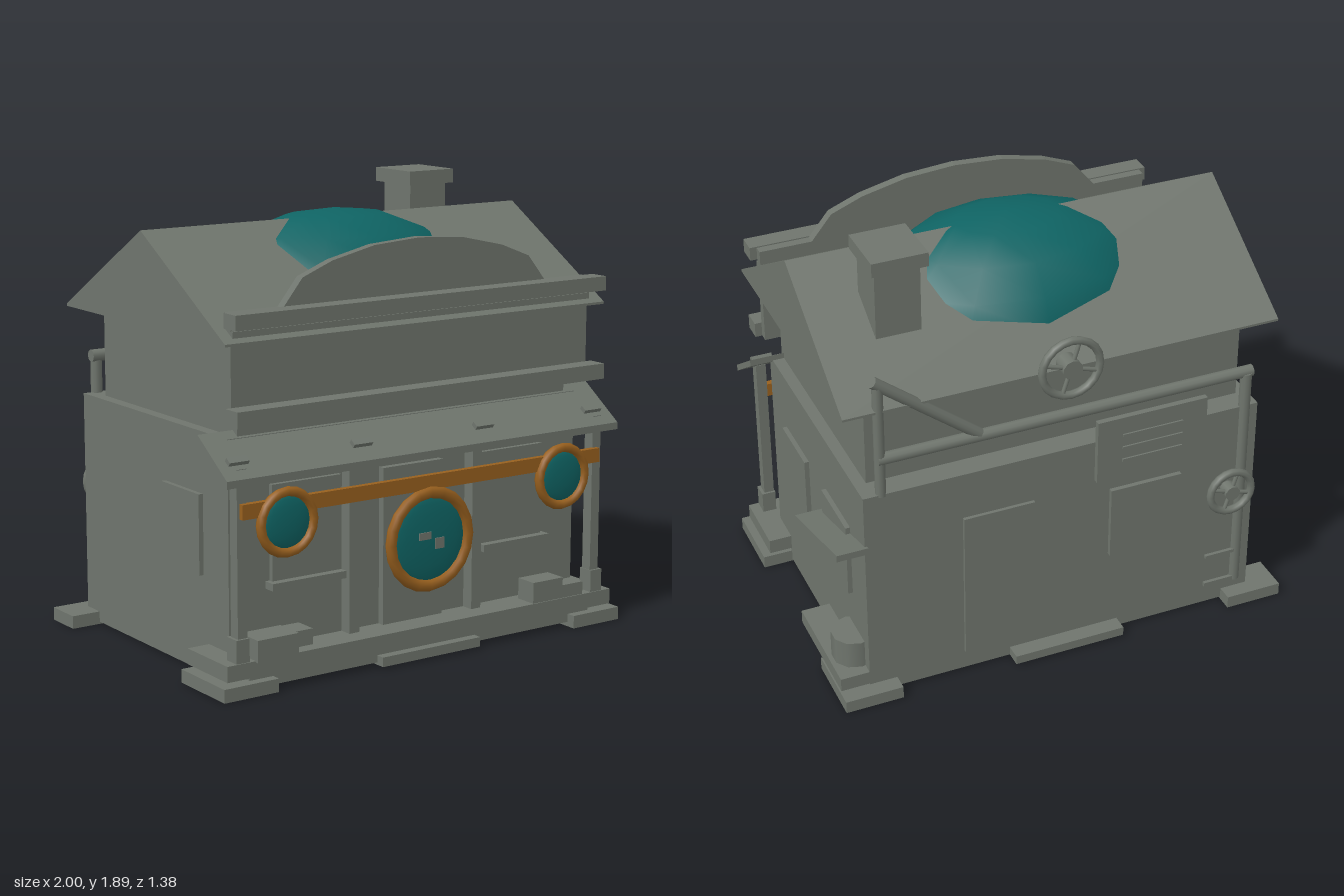
import * as THREE from 'three';

const mat = (name, color) => {
  const m = new THREE.MeshStandardMaterial({ color });
  m.name = name;
  return m;
};

export function createModel() {
  const root = new THREE.Group();
  const stone = mat('grey stone', 0x6f756d);
  const teal = mat('teal', 0x0f6464);
  const amber = mat('amber trim', 0x98601e);

  const add = (name, geo, m = stone, x = 0, y = 0, z = 0) => {
    const mesh = new THREE.Mesh(geo, m);
    mesh.name = name;
    mesh.position.set(x, y, z);
    root.add(mesh);
    return mesh;
  };
  // Box given by its limits on each axis
  const box = (name, x0, x1, y0, y1, z0, z1, m = stone) =>
    add(name, new THREE.BoxGeometry(x1 - x0, y1 - y0, z1 - z0), m, (x0 + x1) / 2, (y0 + y1) / 2, (z0 + z1) / 2);
  // Round bar between two points
  const bar = (name, a, b, r, m = stone) => {
    const p = new THREE.Vector3(...a), q = new THREE.Vector3(...b);
    const d = q.clone().sub(p), c = p.add(q).multiplyScalar(0.5);
    const mesh = add(name, new THREE.CylinderGeometry(r, r, d.length(), 10), m, c.x, c.y, c.z);
    mesh.quaternion.setFromUnitVectors(new THREE.Vector3(0, 1, 0), d.normalize());
    return mesh;
  };
  // Profile of [z, y] points extruded from x0 to x1
  const prism = (name, pts, x0, x1) => {
    const shape = new THREE.Shape(pts.map(([z, y]) => new THREE.Vector2(-z, y)));
    const geo = new THREE.ExtrudeGeometry(shape, { depth: x1 - x0, bevelEnabled: false });
    geo.rotateY(Math.PI / 2);
    return add(name, geo, stone, x0, 0, 0);
  };

  // Building and roof
  box('lowerWalls', -0.87, 0.87, 0.01, 0.99, -0.62, 0.52);
  box('upperWalls', -0.82, 0.82, 0.99, 1.38, -0.52, 0.51);
  prism('roof', [[0.62, 1.37], [0.62, 1.38], [0, 1.75], [-0.62, 1.38], [-0.62, 1.37]], -0.94, 0.94);
  const dome = add('roofDome', new THREE.SphereGeometry(1, 12, 9), teal, 0, 1.38, -0.015);
  dome.scale.set(0.65, 0.4, 0.45);

  // Chimney
  box('chimney', 0.51, 0.70, 1.45, 1.84, -0.36, -0.17);
  box('chimneyCap', 0.485, 0.72, 1.83, 1.89, -0.39, -0.14);

  // False front with an arched top
  const facade = new THREE.Shape([
    [-0.89, 1.06], [0.88, 1.06], [0.88, 1.49], [0.65, 1.49], [0.56, 1.60], [0.42, 1.655], [0.22, 1.70],
    [0, 1.715], [-0.22, 1.70], [-0.42, 1.655], [-0.56, 1.60], [-0.65, 1.49], [-0.89, 1.49],
  ].map(([x, y]) => new THREE.Vector2(x, y)));
  add('falseFront', new THREE.ExtrudeGeometry(facade, { depth: 0.04, bevelEnabled: false }), stone, 0, 0, 0.54);
  box('falseFrontMount', -0.8, 0.8, 1.1, 1.36, 0.5, 0.55);
  box('lowerCornice', -0.915, 0.91, 1.06, 1.125, 0.58, 0.665);
  box('upperCornice', -0.92, 0.91, 1.435, 1.495, 0.58, 0.665);
  box('corniceStrip', -0.89, 0.88, 1.395, 1.42, 0.58, 0.595);

  // Front awning with small clips
  prism('awning', [[0.48, 0.985], [0.69, 0.84], [0.69, 0.87], [0.48, 1.015]], -0.98, 0.97);
  for (const x of [-0.89, -0.31, 0.30, 0.88]) {
    const clip = add('awningClip', new THREE.BoxGeometry(0.09, 0.025, 0.03), stone, x, 0.925, 0.62);
    clip.rotation.x = 0.6;
  }

  // Porch deck, corner pads and steps
  box('porchDeck', -0.97, 0.97, 0.07, 0.135, 0.37, 0.665);
  box('deckSupport', -0.86, 0.86, 0.02, 0.08, 0.5, 0.65);
  box('frontStep', -0.25, 0.245, 0.01, 0.05, 0.6, 0.69);
  box('backStep', -0.25, 0.245, 0.01, 0.05, -0.69, -0.6);
  for (const s of [-1, 1]) {
    const pad = (z0, z1) => box('cornerPad', s < 0 ? -1 : 0.75, s < 0 ? -0.75 : 1, 0, 0.055, z0, z1);
    pad(0.37, 0.69);
    pad(-0.69, s < 0 ? -0.52 : -0.38);
    box('porchPost', s * 0.89 - 0.022, s * 0.89 + 0.022, 0.13, 0.9, 0.6, 0.65);
    box('postFoot', s * 0.895 - 0.03, s * 0.895 + 0.03, 0.13, 0.23, 0.59, 0.66);
    box('frontPilaster', s * 0.31 - 0.024, s * 0.31 + 0.024, 0.13, 0.86, 0.52, 0.575);
    box('frontWindow', s * 0.515 - 0.165, s * 0.515 + 0.165, 0.40, 0.79, 0.515, 0.54);
    box('windowSill', s * 0.525 - 0.175, s * 0.525 + 0.175, 0.37, 0.40, 0.515, 0.575);
  }
  box('frontDoor', -0.15, 0.15, 0.13, 0.79, 0.515, 0.55);

  // Crates on the porch
  box('leftCrate', 0.55, 0.71, 0.13, 0.225, 0.56, 0.66);
  box('leftLowCrate', 0.71, 0.82, 0.13, 0.19, 0.58, 0.66);
  box('rightCrate', -0.84, -0.65, 0.13, 0.22, 0.55, 0.68);
  box('rightLowCrate', -0.65, -0.57, 0.155, 0.22, 0.56, 0.66);

  // Amber beam with ringed discs
  box('signBeam', -0.90, 0.89, 0.705, 0.765, 0.645, 0.672, amber);
  const medallion = (x, y, r, tube) => {
    const ring = add('medallionRing', new THREE.TorusGeometry(r, tube, 8, 20), amber, x, y, 0.67);
    ring.scale.z = 0.02 / tube;
    const disc = add('medallionDisc', new THREE.SphereGeometry(r - tube * 0.6, 24, 10), teal, x, y, 0.665);
    disc.scale.z = 0.02 / (r - tube * 0.6);
  };
  medallion(-0.695, 0.67, 0.122, 0.02);
  medallion(0.685, 0.67, 0.122, 0.02);
  medallion(-0.005, 0.5, 0.194, 0.025);
  box('discPlateA', -0.07, -0.01, 0.505, 0.535, 0.682, 0.689);
  box('discPlateB', 0.01, 0.055, 0.46, 0.505, 0.682, 0.689);

  // Side windows, shelter, platform and barrel
  box('sideWindow', 0.865, 0.89, 0.41, 0.74, 0.05, 0.335);
  box('sideWindow', 0.865, 0.89, 0.41, 0.74, -0.45, -0.16);
  box('sideWindow', -0.89, -0.865, 0.41, 0.74, 0.05, 0.335);
  prism('sideAwning', [[-0.12, 0.585], [-0.12, 0.615], [-0.64, 0.765], [-0.64, 0.735]], 0.86, 0.995);
  box('sidePlatform', 0.8, 0.995, 0.06, 0.12, -0.62, -0.13);
  add('barrel', new THREE.CylinderGeometry(0.095, 0.095, 0.125, 10), stone, 0.885, 0.18, -0.48);

  // Back door, window and notice board
  box('backDoor', 0.14, 0.45, 0.1, 0.78, -0.635, -0.61);
  box('backWindow', -0.52, -0.2, 0.41, 0.74, -0.64, -0.61);
  box('noticeBoard', -0.61, -0.12, 0.82, 1.11, -0.665, -0.64);
  box('boardMount', -0.55, -0.18, 0.86, 0.97, -0.645, -0.61);
  for (let i = 0; i < 3; i++) box('noticeLine', -0.5, -0.23, 0.9 + i * 0.06, 0.912 + i * 0.06, -0.672, -0.66);

  // Back pipework
  const pz = -0.605;
  bar('longPipe', [0.8, 1.15, pz], [-0.84, 1.15, pz], 0.026);
  bar('tallPipe', [0.79, 0.98, pz], [0.79, 1.5, pz], 0.022);
  bar('diagonalPipe', [0.81, 1.51, pz], [0.37, 1.16, pz], 0.024);
  bar('downPipe', [-0.81, 1.15, pz - 0.01], [-0.81, 0.1, pz - 0.01], 0.025);
  box('pipeLedge', -0.81, -0.66, 0.1, 0.12, -0.635, -0.61);
  box('pipeLedge', -0.81, -0.66, 0.25, 0.265, -0.635, -0.61);

  // Hand wheels on the back
  const wheel = (x, y, r, t) => {
    add('handWheel', new THREE.TorusGeometry(r - t, t, 8, 20), stone, x, y, -0.655);
    bar('wheelHub', [x, y, -0.675], [x, y, -0.6], r * 0.3);
    for (const a of [0.3, 1.87]) {
      const dx = Math.cos(a) * (r - t), dy = Math.sin(a) * (r - t);
      bar('wheelSpoke', [x - dx, y - dy, -0.655], [x + dx, y + dy, -0.655], 0.009);
    }
  };
  wheel(0, 1.4, 0.142, 0.017);
  wheel(-0.75, 0.595, 0.113, 0.017);

  return root;
}
